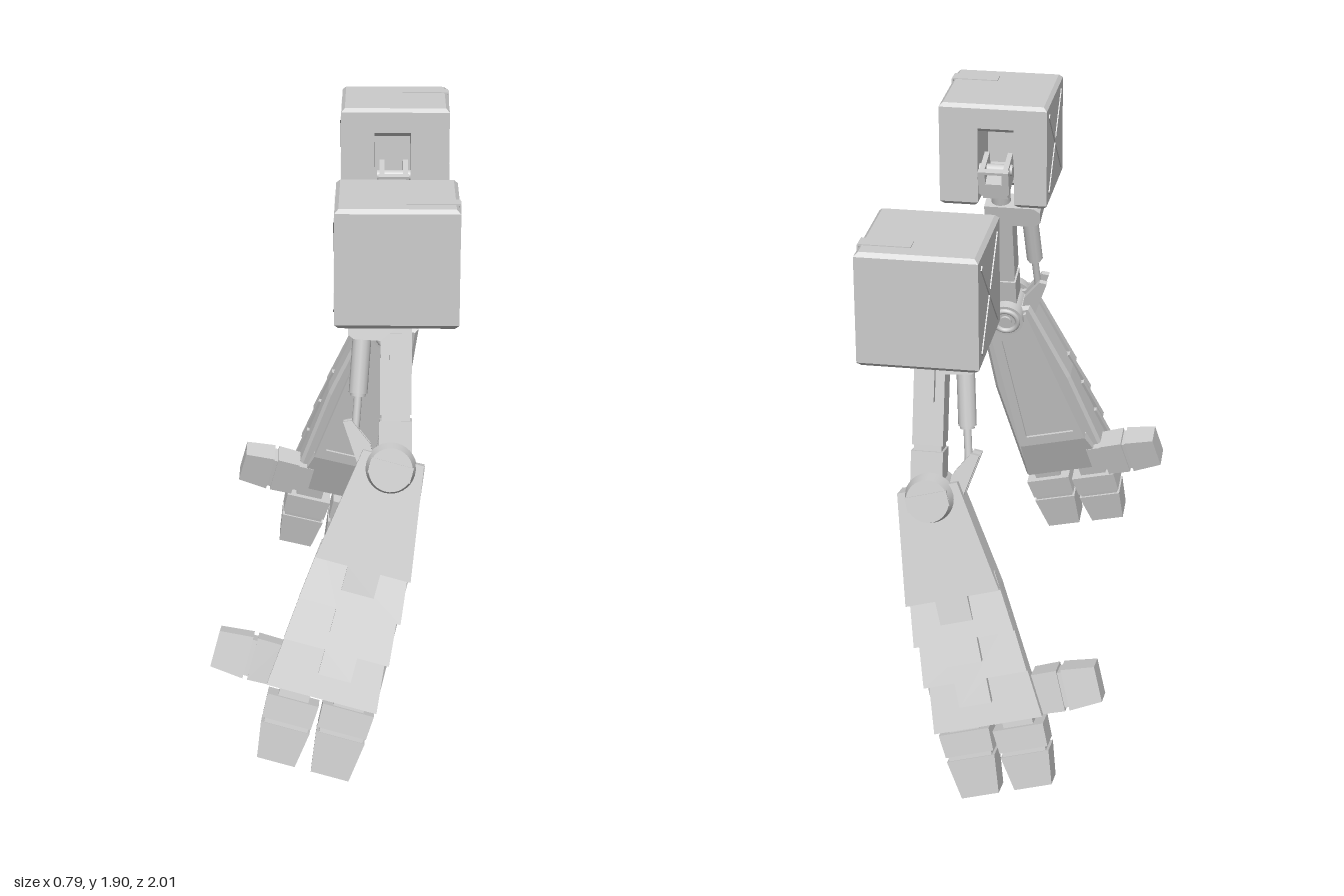
import * as THREE from 'three';
import { ConvexGeometry } from 'three/addons/geometries/ConvexGeometry.js';

const grey = new THREE.MeshStandardMaterial({ color: 0xcccccc, side: THREE.DoubleSide });

function add(parent, name, geometry, x = 0, y = 0, z = 0) {
  const mesh = new THREE.Mesh(geometry, grey);
  mesh.name = name;
  mesh.position.set(x, y, z);
  parent.add(mesh);
  return mesh;
}

function group(parent, name, x = 0, y = 0, z = 0) {
  const g = new THREE.Group();
  g.name = name;
  g.position.set(x, y, z);
  parent.add(g);
  return g;
}

const box = (w, h, d) => new THREE.BoxGeometry(w, h, d);
const toShape = (pts) => new THREE.Shape(pts.map((p) => new THREE.Vector2(...p)));

// Flat plate between depths z0 and z1, sheared in depth by slope around height y0
function plate(pts, z0, z1, { slope = 0, y0 = 0, hole = null, bevel = 0 } = {}) {
  const shape = toShape(pts);
  if (hole) shape.holes.push(toShape(hole));
  const geo = new THREE.ExtrudeGeometry(shape, {
    depth: z1 - z0 - 2 * bevel, bevelEnabled: bevel > 0, bevelSize: bevel,
    bevelThickness: bevel, bevelOffset: -bevel, bevelSegments: 1, curveSegments: 8,
  });
  geo.translate(0, 0, z0 + bevel);
  const p = geo.attributes.position;
  for (let i = 0; i < p.count; i++) p.setZ(i, p.getZ(i) + slope * (p.getY(i) - y0));
  geo.computeVertexNormals();
  return geo;
}

// Convex block through rectangles given as [y, xMin, xMax, zMin, zMax]
function block(sections) {
  const pts = [];
  for (const [y, x0, x1, z0, z1] of sections)
    for (const x of [x0, x1]) for (const z of [z0, z1]) pts.push(new THREE.Vector3(x, y, z));
  return new ConvexGeometry(pts);
}

// Cylinder along a segment
function rod(parent, name, a, b, r, sides = 16) {
  const from = new THREE.Vector3(...a), dir = new THREE.Vector3(...b).sub(from);
  const mesh = add(parent, name, new THREE.CylinderGeometry(r, r, dir.length(), sides));
  mesh.position.copy(from).addScaledVector(dir, 0.5);
  mesh.quaternion.setFromUnitVectors(new THREE.Vector3(0, 1, 0), dir.normalize());
  return mesh;
}

function buildShoulder(arm) {
  const s = group(arm, 'shoulder', 0.195, 0, 0.69);
  const h = 0.193, bev = 0.013;
  // Slot for the joint, open to the inside and the bottom
  const slotted = [[-h, -h], [h, -h], [h, h], [0.055, h], [0.055, -0.02], [-0.075, -0.02], [-0.075, h], [-h, h]];
  const full = [[-h, -h], [h, -h], [h, h], [-h, h]];
  add(s, 'shoulderHousing', plate(slotted, 1.52, 1.826, { bevel: bev }).rotateX(-Math.PI / 2));
  add(s, 'shoulderTop', plate(full, 1.8, 1.9, { bevel: bev }).rotateX(-Math.PI / 2));
  for (let i = 0; i < 5; i++)
    add(s, 'ventSlat', box(0.006, 0.115, 0.014), h, 1.628, -0.125 + i * 0.0255);
  add(s, 'topLatch', box(0.166, 0.006, 0.055), 0.11, 1.9, 0.1);
  add(s, 'sideLatch', box(0.006, 0.07, 0.055), h, 1.864, 0.1);
  for (const side of [-1, 1])
    add(s, 'crossBrace', box(0.008, 0.41, 0.016), -h, 1.71, 0).rotation.x = side * Math.PI / 4;
}

function buildUpperArm(limb) {
  const u = group(limb, 'upperArm');
  // Joint inside the shoulder slot
  add(u, 'neck', new THREE.CylinderGeometry(0.036, 0.036, 0.13, 16), 0.19, 0.52, 0);
  add(u, 'jointBlock', box(0.09, 0.07, 0.13), 0.19, 0.6, -0.04);
  add(u, 'jointFlap', plate([[0.135, 0.69], [0.135, 0.6], [0.155, 0.585], [0.225, 0.585], [0.245, 0.6], [0.245, 0.69]],
    -0.128, -0.106, { hole: [[0.16, 0.68], [0.16, 0.64], [0.22, 0.64], [0.22, 0.68]] }));
  for (const x of [0.148, 0.232]) add(u, 'jointCheek', box(0.018, 0.1, 0.12), x, 0.64, -0.055);
  rod(u, 'jointPin', [0.13, 0.66, -0.06], [0.25, 0.66, -0.06], 0.02);
  // Upper bone with a horn holding the piston
  add(u, 'upperBone', plate([[0.145, 0.17], [0.245, 0.17], [0.245, 0.485], [0.065, 0.485], [0.042, 0.468],
    [0.042, 0.425], [0.06, 0.41], [0.145, 0.405]], -0.045, 0.045));
  add(u, 'boneGroove', box(0.09, 0.03, 0.08), 0.195, 0.16, 0);
  add(u, 'lowerBone', box(0.104, 0.2, 0.096), 0.195, 0.05, 0);
  add(u, 'boneRib', plate([[0.175, 0.315], [0.213, 0.315], [0.213, 0.43], [0.175, 0.43]], 0.04, 0.066));
  // Piston and lever
  rod(u, 'pistonCylinder', [0.087, 0.42, 0], [0.075, 0.235, 0], 0.03, 12);
  rod(u, 'pistonCollar', [0.077, 0.25, 0], [0.075, 0.225, 0], 0.024, 12);
  rod(u, 'pistonRod', [0.076, 0.24, 0], [0.066, 0.1, 0], 0.013, 12);
  const lever = [[0.028, 0.145], [0.055, 0.15], [0.115, 0.075], [0.13, 0], [0.075, 0.01]];
  for (const z of [-0.038, 0.018]) add(u, 'lever', plate(lever, z, z + 0.02));
  rod(u, 'leverPin', [0.062, 0.11, -0.035], [0.062, 0.11, 0.035], 0.014, 12);
}

function buildForearm(limb) {
  const f = group(limb, 'forearm', 0.18, 0, 0);
  f.rotation.z = -0.26;
  add(f, 'forearmBody', plate([[-0.095, 0.02], [-0.15, -0.33], [-0.185, -0.775], [0.16, -0.775], [0.15, -0.33],
    [0.105, 0.03]], -0.05, 0.05, { bevel: 0.012 }));
  // Inner side: raised frame around a recessed panel, then a sloping wrist
  add(f, 'innerFrame', plate([[-0.075, 0.0], [-0.135, -0.6], [0.125, -0.6], [0.08, 0.0]], -0.066, -0.04,
    { slope: 0.035, hole: [[-0.05, -0.1], [0.05, -0.1], [0.09, -0.56], [-0.1, -0.56]] }));
  add(f, 'innerPanel', plate([[-0.06, -0.05], [0.06, -0.05], [0.1, -0.58], [-0.11, -0.58]], -0.057, -0.04, { slope: 0.035 }));
  add(f, 'wristSlope', block([[-0.6, -0.135, 0.125, -0.087, -0.04], [-0.77, -0.17, 0.15, -0.056, -0.04]]));

  // Overlapping outer scales, each with a centre tab: top, bottom, outer depth, slope, half widths
  const scales = [
    [0.035, -0.335, 0.077, -0.035, 0.1, 0.157],
    [-0.28, -0.475, 0.078, -0.14, 0.145, 0.168],
    [-0.42, -0.615, 0.077, -0.14, 0.155, 0.174],
    [-0.56, -0.775, 0.073, -0.11, 0.16, 0.182],
  ];
  scales.forEach(([top, bottom, z, slope, wTop, wBottom], i) => {
    const lean = -0.006 * i;
    const tab = i < 3 ? [[-0.05, bottom], [-0.05, bottom - 0.08], [0.057, bottom - 0.08], [0.057, bottom]] : [];
    add(f, 'armScale', plate([[-wTop + lean, top], [-wBottom + lean, bottom], ...tab,
      [wBottom + lean, bottom], [wTop + lean, top]], z - 0.025, z, { slope, y0: bottom }));
  });

  // Elbow caps: a large slotted one outside, a ringed one inside
  const cap = add(f, 'elbowCap', new THREE.CylinderGeometry(0.07, 0.083, 0.05, 32), 0, 0, 0.078);
  cap.rotation.x = Math.PI / 2;
  add(f, 'elbowCapBar', box(0.138, 0.05, 0.012), 0, 0, 0.102);
  rod(f, 'elbowAxle', [0, 0, -0.085], [0, 0, 0.06], 0.065, 32);
  add(f, 'elbowRing', new THREE.TorusGeometry(0.045, 0.01, 8, 32), 0, 0, -0.086);
  rod(f, 'elbowBolt', [0, 0, -0.095], [0, 0, -0.08], 0.022, 16);

  // Two tapered fingers, curling slightly inward
  for (const [x, drop] of [[-0.104, 0.015], [0.076, 0]]) {
    const finger = group(f, 'finger', x, -0.78 - drop, -0.015);
    add(finger, 'knuckle', box(0.1, 0.08, 0.07), 0, 0.01, 0);
    add(finger, 'fingerBase', block([[-0.015, -0.085, 0.085, -0.053, 0.05], [-0.095, -0.082, 0.08, -0.055, 0.046]]));
    add(finger, 'fingerJoint', box(0.145, 0.03, 0.09), 0, -0.105, -0.005);
    add(finger, 'fingerTip', block([[-0.11, -0.082, 0.08, -0.057, 0.045], [-0.245 + drop, -0.064, 0.062, -0.06, 0.034]]));
  }

  // Sideways thumb
  const thumb = group(f, 'thumb', -0.15, -0.72, -0.04);
  thumb.rotation.z = -Math.PI / 2;
  add(thumb, 'thumbRoot', box(0.11, 0.08, 0.075), 0, -0.01, 0);
  add(thumb, 'thumbBase', block([[-0.03, -0.068, 0.068, -0.05, 0.045], [-0.115, -0.07, 0.07, -0.05, 0.05]]));
  add(thumb, 'thumbJoint', box(0.12, 0.03, 0.085), 0, -0.123, 0);
  add(thumb, 'thumbTip', block([[-0.13, -0.07, 0.07, -0.05, 0.05], [-0.24, -0.06, 0.06, -0.045, 0.045]]));
}

function buildArm(name) {
  const arm = new THREE.Group();
  arm.name = name;
  buildShoulder(arm);
  // The limb leans outward from the shoulder
  const limb = group(arm, 'limb', 0, 1.02, 0.75);
  limb.rotation.x = -0.235;
  buildUpperArm(limb);
  buildForearm(limb);
  return arm;
}

export function createModel() {
  const model = new THREE.Group();
  model.name = 'robotArms';
  const back = buildArm('backArm');
  back.scale.z = -1;
  model.add(buildArm('frontArm'), back);
  return model;
}
